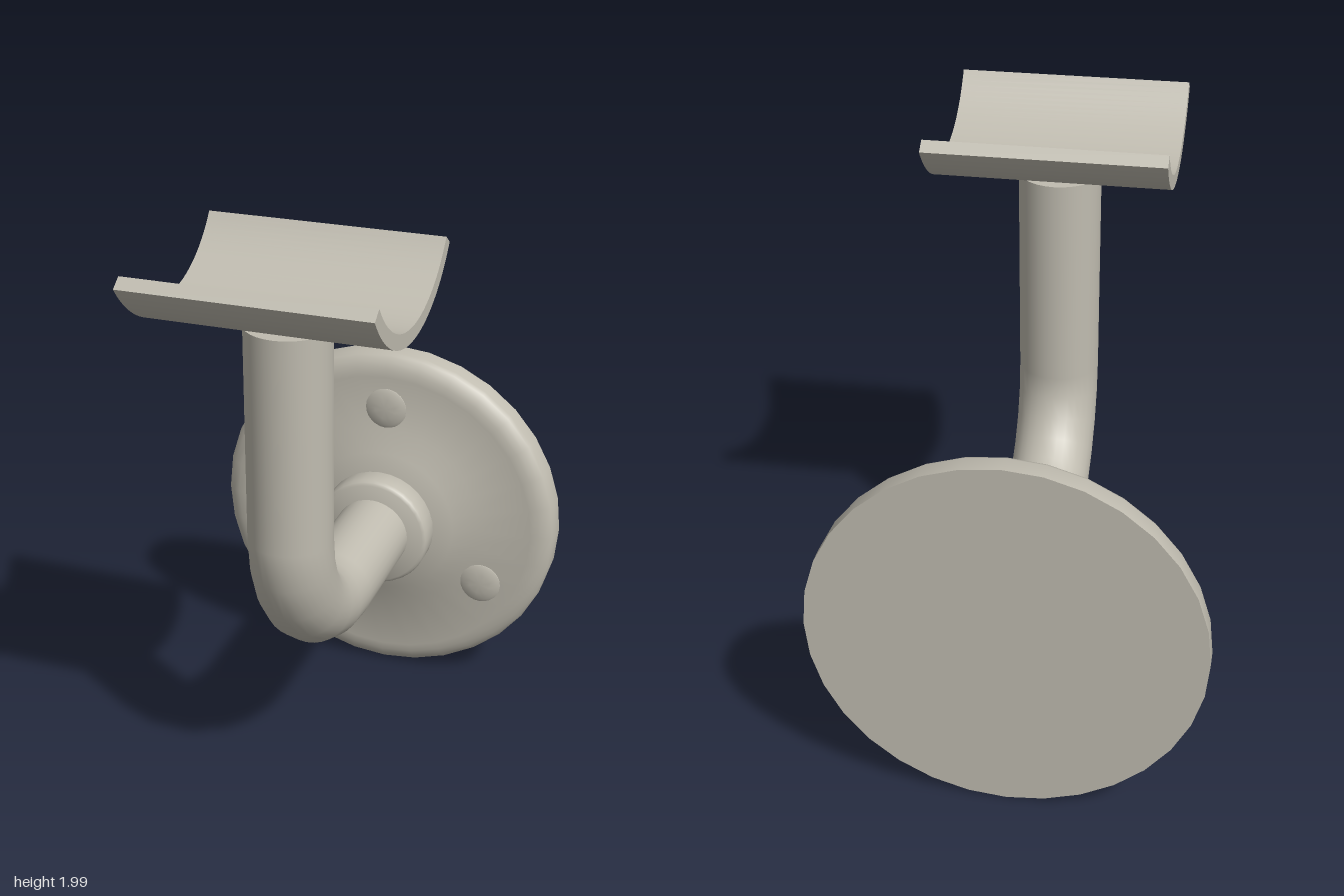
import * as THREE from 'three';
import { toCreasedNormals } from 'three/addons/utils/BufferGeometryUtils.js';

const metal = new THREE.MeshStandardMaterial({ color: 0xc0bcb0 });
metal.name = 'satin metal';

const AXIS_Y = 0.655;  // height of the wall plate's centre
const STEM_Z = 0.367;  // depth of the upright stem
const TUBE_R = 0.138;
const BEND_R = 0.41;

function add(parent, name, geometry, x = 0, y = 0, z = 0) {
  const mesh = new THREE.Mesh(geometry, metal);
  mesh.name = name;
  mesh.position.set(x, y, z);
  parent.add(mesh);
  return mesh;
}

// Turned part: profile of [radius, height] pairs, its axis pointing to +z
function turned(profile, sides, crease = 0.75) {
  const points = profile.map(([r, h]) => new THREE.Vector2(r, h));
  const geometry = new THREE.LatheGeometry(points, sides);
  geometry.rotateX(Math.PI / 2);
  return toCreasedNormals(geometry, crease);
}

// Low domed screw head, base at height 0
function screwHead(radius, height) {
  return turned([
    [0, -0.01], [radius, -0.01], [radius, height * 0.2], [radius * 0.85, height * 0.55],
    [radius * 0.5, height * 0.88], [0, height],
  ], 24);
}

export function createModel() {
  const model = new THREE.Group();
  model.name = 'handrailBracket';

  // Wall plate with rounded rim and raised hub
  add(model, 'wallPlate', turned([
    [0, -0.733], [0.648, -0.733], [0.648, -0.668], [0.64, -0.65], [0.62, -0.634],
    [0.595, -0.624], [0.565, -0.62], [0.36, -0.62], [0.28, -0.575], [0, -0.572],
  ], 32), 0, AXIS_Y, 0);

  // Collar around the arm
  add(model, 'collar', turned([
    [0, -0.574], [0.195, -0.574], [0.206, -0.567], [0.211, -0.555], [0.211, -0.485],
    [0.206, -0.472], [0.195, -0.465], [0, -0.465],
  ], 32), 0, AXIS_Y, 0);

  // Three plate screws, evenly spaced
  for (const degrees of [90, 210, 330]) {
    const a = THREE.MathUtils.degToRad(degrees);
    add(model, 'plateScrew', screwHead(0.077, 0.015),
      Math.cos(a) * 0.443, AXIS_Y + Math.sin(a) * 0.443, -0.62);
  }

  // Bent arm: horizontal run, quarter bend, upright stem
  const arm = new THREE.Group();
  arm.name = 'arm';
  model.add(arm);
  const bendZ = STEM_Z - BEND_R;
  const bendY = AXIS_Y + BEND_R;
  const runLength = bendZ + 0.5;
  const run = new THREE.CylinderGeometry(TUBE_R, TUBE_R, runLength, 32, 1, true);
  run.rotateX(Math.PI / 2);
  add(arm, 'armRun', run, 0, AXIS_Y, bendZ - runLength / 2);

  const bend = new THREE.TorusGeometry(BEND_R, TUBE_R, 32, 6, Math.PI / 2);
  bend.applyMatrix4(new THREE.Matrix4().makeBasis(
    new THREE.Vector3(0, 0, 1), new THREE.Vector3(0, -1, 0), new THREE.Vector3(1, 0, 0)));
  add(arm, 'armBend', bend, 0, bendY, bendZ);

  const stemLength = 1.786 - bendY;
  add(arm, 'armStem', new THREE.CylinderGeometry(TUBE_R, TUBE_R, stemLength, 32),
    0, bendY + stemLength / 2, STEM_Z);

  // Curved saddle that carries the rail
  const outer = 0.448, inner = 0.401, halfAngle = THREE.MathUtils.degToRad(54.5);
  const down = -Math.PI / 2;
  const shape = new THREE.Shape();
  shape.absarc(0, 0, outer, down - halfAngle, down + halfAngle, false);
  shape.absarc(0, 0, inner, down + halfAngle, down - halfAngle, true);
  shape.closePath();
  const saddle = new THREE.ExtrudeGeometry(shape, { depth: 0.78, bevelEnabled: false, curveSegments: 20 });
  saddle.translate(0, 0, -0.39);
  saddle.rotateY(Math.PI / 2);
  add(model, 'saddle', toCreasedNormals(saddle, 0.5), 0, 2.233, 0.365);

  // Screws under the saddle
  for (const side of [-1, 1]) {
    const screw = add(model, 'saddleScrew', screwHead(0.051, 0.016), side * 0.205, 1.785, STEM_Z);
    screw.rotation.x = Math.PI / 2;
  }

  return model;
}
